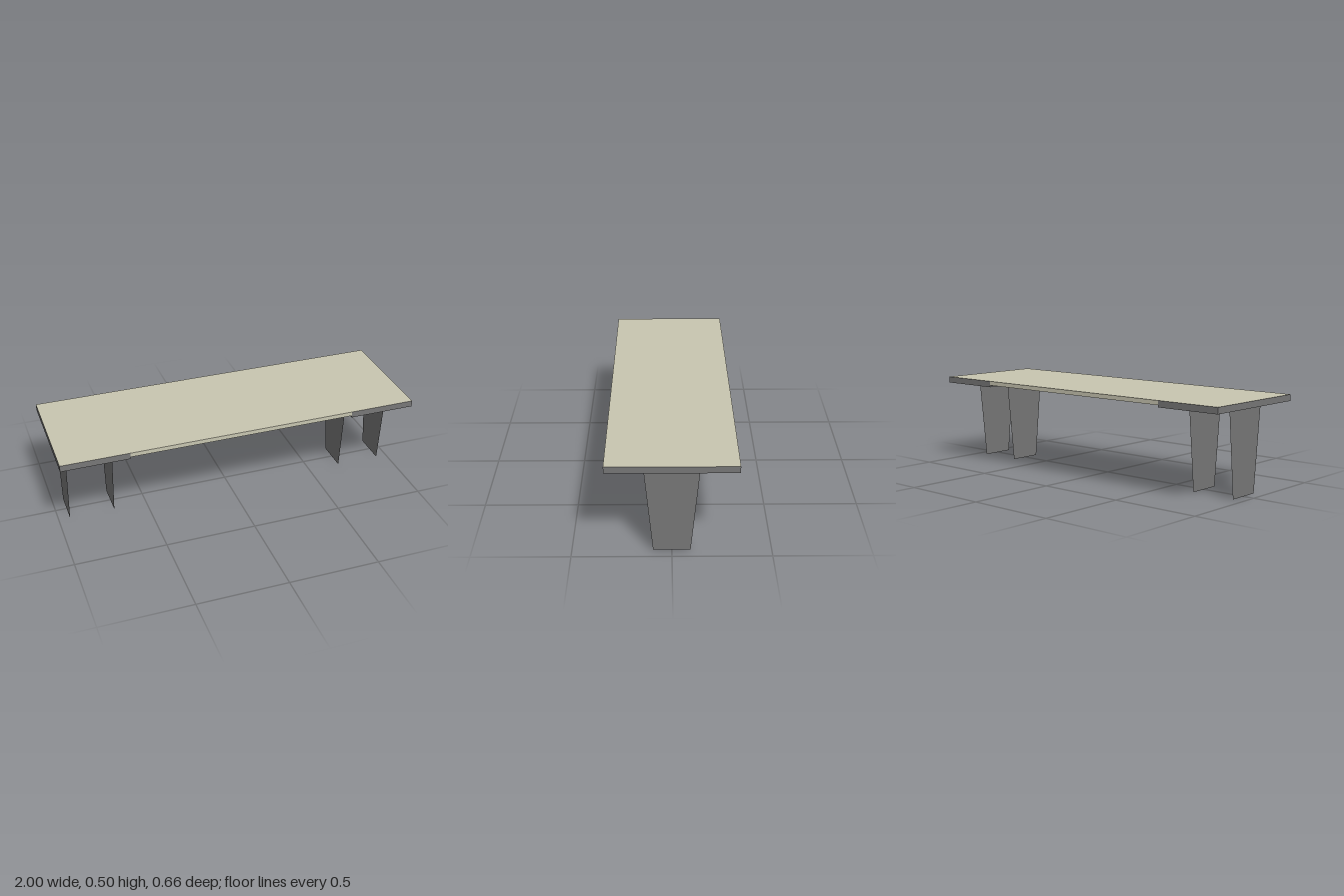
import * as THREE from 'three';

const TOP = 0.505, END_BOTTOM = 0.47, MID_BOTTOM = 0.481;
const DEPTH = 0.656, INNER = 0.63;

export function createModel() {
  const table = new THREE.Group();
  table.name = 'table';
  const beige = new THREE.MeshStandardMaterial({ color: 0xc8c6b1 });
  const grey = new THREE.MeshStandardMaterial({ color: 0x777777 });
  const legGrey = new THREE.MeshStandardMaterial({ color: 0x777777, side: THREE.DoubleSide });

  // Board spanning x0..x1 from the given underside up to the table top
  function addBoard(name, x0, x1, bottom, material) {
    const board = new THREE.Mesh(new THREE.BoxGeometry(x1 - x0, TOP - bottom, DEPTH), material);
    board.position.set((x0 + x1) / 2, (TOP + bottom) / 2, 0);
    board.name = name;
    table.add(board);
  }

  // Thin middle panel and thicker ends, whose upper face matches the panel
  const endMaterials = [grey, grey, beige, grey, grey, grey];
  addBoard('middlePanel', -INNER, INNER, MID_BOTTOM, beige);
  addBoard('leftEnd', INNER, 1, END_BOTTOM, endMaterials);
  addBoard('rightEnd', -1, -INNER, END_BOTTOM, endMaterials);

  // Flat tapered leg sheets, a pair under each end
  const outline = new THREE.Shape([
    new THREE.Vector2(-0.094, 0), new THREE.Vector2(0.094, 0),
    new THREE.Vector2(0.14, END_BOTTOM), new THREE.Vector2(-0.14, END_BOTTOM),
  ]);
  const legGeometry = new THREE.ShapeGeometry(outline).rotateY(Math.PI / 2);
  for (const side of [1, -1]) {
    for (const [name, x] of [['OuterLeg', 0.937], ['InnerLeg', 0.686]]) {
      const leg = new THREE.Mesh(legGeometry, legGrey);
      leg.position.x = side * x;
      leg.name = (side > 0 ? 'left' : 'right') + name;
      table.add(leg);
    }
  }
  return table;
}
